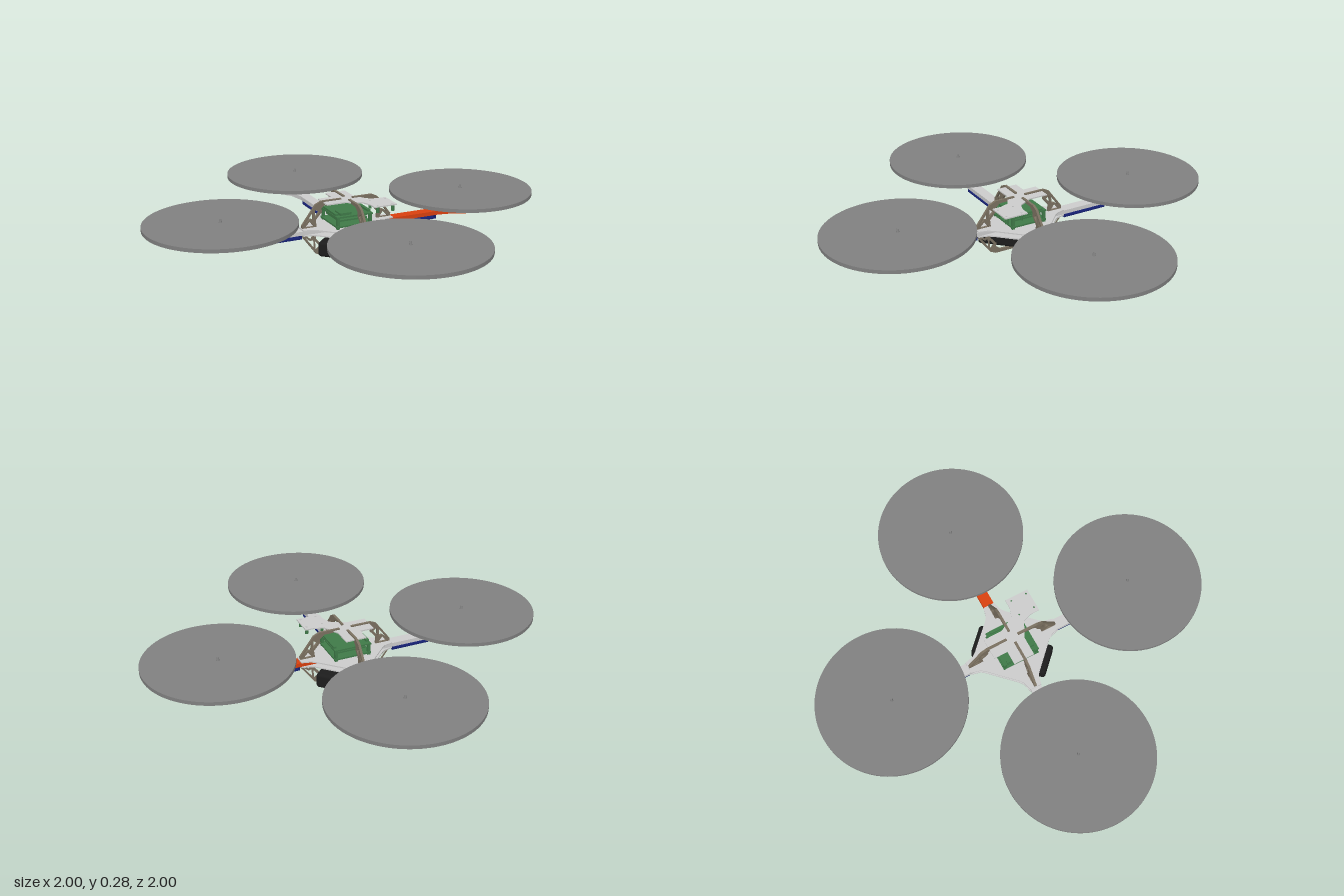
import * as THREE from 'three';
import { RoundedBoxGeometry } from 'three/addons/geometries/RoundedBoxGeometry.js';

const mat = (color) => new THREE.MeshStandardMaterial({ color });
const grey = mat(0xcccccc), orange = mat(0xd8400f), blue = mat(0x141f70);
const dark = mat(0x808080), brown = mat(0x7a7060), green = mat(0x3f7a48), black = mat(0x1c1c1c);

function add(parent, name, geometry, material, x = 0, y = 0, z = 0) {
  const m = new THREE.Mesh(geometry, material);
  m.name = name;
  m.position.set(x, y, z);
  parent.add(m);
  return m;
}
const box = (w, h, d) => new THREE.BoxGeometry(w, h, d);
const cyl = (r, h, n = 24, r2 = r) => new THREE.CylinderGeometry(r2, r, h, n);
const poly = (pts) => new THREE.Shape(pts.map(([x, y]) => new THREE.Vector2(x, y)));

function hole(shape, x, y, r) {
  const p = new THREE.Path();
  p.absarc(x, y, r, 0, Math.PI * 2, true);
  shape.holes.push(p);
}

// Horizontal plate from a shape whose y runs towards -z
function slab(shape, h) {
  return new THREE.ExtrudeGeometry(shape, { depth: h, bevelEnabled: false, curveSegments: 16 }).rotateX(-Math.PI / 2);
}

// Slim beam that flares into a round, drilled motor pad
function armShape() {
  const s = new THREE.Shape();
  const w = 0.027, c = 0.64, r = 0.07, a = 2.45;
  s.moveTo(0.07, -w);
  s.lineTo(0.5, -w);
  s.lineTo(c + r * Math.cos(a), -r * Math.sin(a));
  s.absarc(c, 0, r, -a, a, false);
  s.lineTo(0.5, w);
  s.lineTo(0.07, w);
  s.closePath();
  hole(s, c, 0, 0.014);
  for (let i = 0; i < 6; i++) {
    const t = (i * Math.PI) / 3;
    hole(s, c + 0.042 * Math.cos(t), 0.042 * Math.sin(t), 0.011);
  }
  return s;
}

// Upright truss bracket; flip turns the upper half into the landing leg
function bracketGeometry(flip) {
  const f = ([x, y]) => [x, flip ? 0.276 - y : y];
  const s = poly([[0.235, 0.144], [0.238, 0.165], [0.165, 0.262], [0.135, 0.276], [0.03, 0.276],
    [0.03, 0.262], [0.11, 0.26], [0.135, 0.24], [0.132, 0.222], [0.165, 0.185], [0.16, 0.144]].map(f));
  const cutouts = [
    [[0.175, 0.154], [0.222, 0.154], [0.196, 0.182]],
    [[0.218, 0.176], [0.178, 0.228], [0.18, 0.19], [0.194, 0.194]],
    [[0.17, 0.197], [0.167, 0.238], [0.147, 0.223]],
  ];
  for (const c of cutouts) s.holes.push(poly(c.map(f)));
  return new THREE.ExtrudeGeometry(s, { depth: 0.012, bevelEnabled: false }).translate(0, 0, -0.006);
}

function makeArm(index) {
  const g = new THREE.Group();
  g.name = 'armAssembly' + index;
  add(g, 'arm', slab(armShape(), 0.02), index === 0 ? orange : grey, 0, 0.125, 0);

  // Speed controller tray hanging under the beam
  add(g, 'controllerTray', box(0.245, 0.006, 0.046), blue, 0.3675, 0.108, 0);
  for (const x of [0.248, 0.487]) add(g, 'trayEnd', box(0.006, 0.02, 0.046), blue, x, 0.115, 0);

  // Motor, shaft and rotor disc
  add(g, 'motor', cyl(0.051, 0.05, 32), grey, 0.64, 0.175, 0);
  add(g, 'motorBase', cyl(0.04, 0.008, 32), grey, 0.64, 0.148, 0);
  add(g, 'motorNeck', cyl(0.02, 0.026), grey, 0.64, 0.212, 0);
  add(g, 'rotorDisc', cyl(0.36, 0.018, 96), dark, 0.64, 0.232, 0);
  add(g, 'shaftTip', cyl(0.008, 0.018, 16, 0.004), dark, 0.64, 0.249, 0);

  add(g, 'upperBracket', bracketGeometry(false), brown);
  add(g, 'landingLeg', bracketGeometry(true), brown);
  g.rotation.y = (index * Math.PI) / 2;
  return g;
}

export function createModel() {
  const model = new THREE.Group();
  for (let i = 0; i < 4; i++) model.add(makeArm(i));

  // Centre plates clamping the arms
  const outline = [];
  for (let i = 0; i < 4; i++) {
    const c = Math.round(Math.cos((i * Math.PI) / 2)), s = Math.round(Math.sin((i * Math.PI) / 2));
    for (const [x, y] of [[0.24, -0.029], [0.24, 0.029], [0.195, 0.04], [0.175, 0.055], [0.055, 0.175], [0.04, 0.195]])
      outline.push([x * c - y * s, x * s + y * c]);
  }
  add(model, 'upperCentrePlate', slab(poly(outline), 0.006), grey, 0, 0.145, 0);
  add(model, 'lowerCentrePlate', slab(poly(outline), 0.006), grey, 0, 0.119, 0);

  // Battery slung diagonally below the plates
  add(model, 'battery', new RoundedBoxGeometry(0.38, 0.075, 0.155, 4, 0.015), black, 0, 0.064, 0).rotation.y = Math.PI / 4;

  // Stacked circuit boards on posts
  const boards = new THREE.Group();
  boards.name = 'circuitBoards';
  model.add(boards);
  add(boards, 'lowerBoard', box(0.19, 0.008, 0.19), green, 0, 0.163, 0);
  add(boards, 'middleBoard', box(0.15, 0.008, 0.15), green, 0, 0.187, 0);
  add(boards, 'upperBoard', box(0.19, 0.008, 0.19), green, 0, 0.21, 0);
  add(boards, 'chip', box(0.06, 0.012, 0.06), green, -0.04, 0.22, 0.05);
  for (const x of [-0.085, 0.085]) {
    add(boards, 'connectorStrip', box(0.015, 0.01, 0.15), green, x, 0.219, 0);
    for (const z of [-0.085, 0.085]) add(boards, 'boardPost', box(0.014, 0.06, 0.014), green, x, 0.18, z);
  }

  // Top plate with an extended corner for the sensor
  const top = poly([[-0.055, 0.125], [0.05, 0.125], [0.05, 0.03], [0.09, -0.045], [0.135, -0.06], [0.18, -0.06],
    [0.18, -0.18], [0.06, -0.18], [0.06, -0.135], [0.045, -0.09], [-0.03, -0.05], [-0.125, -0.05],
    [-0.125, 0.055], [-0.055, 0.055]].reverse());
  const mounts = [[0.085, 0.165], [0.165, 0.085], [0.165, 0.165], [0.085, 0.085]];
  for (const [x, z] of mounts) hole(top, x, -z, 0.005);
  add(model, 'topPlate', slab(top, 0.006), grey, 0, 0.264, 0);
  for (const [x, z] of mounts) add(model, 'sensorSpacer', cyl(0.008, 0.03, 12), green, x, 0.249, z);
  return model;
}
